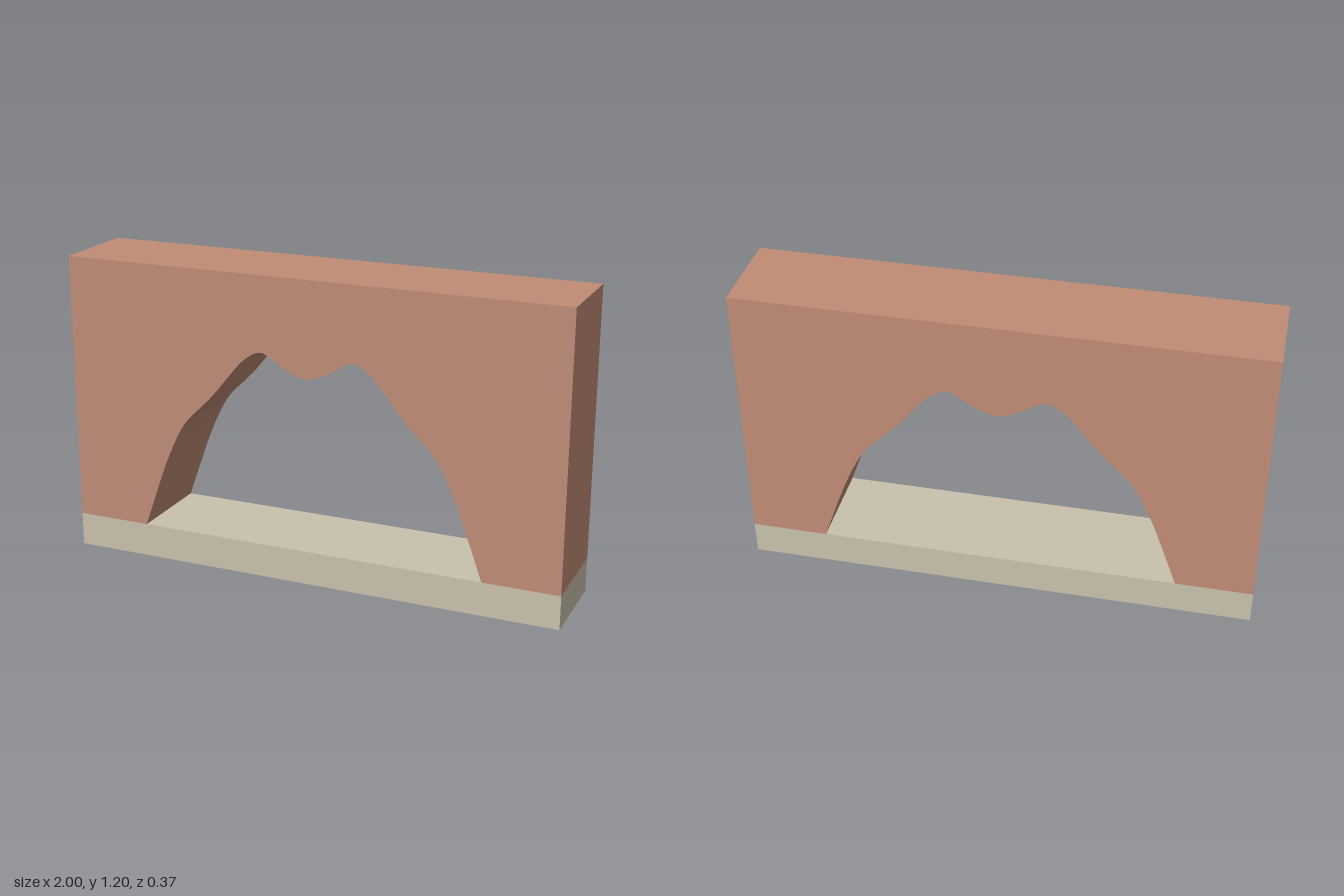
import * as THREE from 'three';

const WIDTH = 2, HEIGHT = 1.2, DEPTH = 0.37, BASE = 0.134;

// Right half of the opening, from the foot to the centre cusp
const HALF_ARCH = [
  [0.70, BASE], [0.65, 0.275], [0.60, 0.41], [0.55, 0.52], [0.50, 0.60], [0.40, 0.70],
  [0.30, 0.82], [0.25, 0.873], [0.18, 0.906], [0.10, 0.86], [0, 0.822],
];

export function createModel() {
  const group = new THREE.Group();
  const brick = new THREE.MeshStandardMaterial({ color: 0xc08c76, flatShading: true });
  const stone = new THREE.MeshStandardMaterial({ color: 0xc9c1ac, flatShading: true });

  // Stone sill
  const sill = new THREE.Mesh(new THREE.BoxGeometry(WIDTH, BASE, DEPTH), stone);
  sill.name = 'sill';
  sill.position.y = BASE / 2;
  group.add(sill);

  // Mirror the half arch and smooth it into a double-lobed opening
  const right = HALF_ARCH.map(([x, y]) => new THREE.Vector2(x, y));
  const left = HALF_ARCH.slice(0, -1).reverse().map(([x, y]) => new THREE.Vector2(-x, y));
  const arch = new THREE.SplineCurve([...right, ...left]).getPoints(60);

  // Wall outline, with the opening cut up from its lower edge
  const outline = [
    new THREE.Vector2(-WIDTH / 2, HEIGHT),
    new THREE.Vector2(-WIDTH / 2, BASE),
    ...arch.reverse(),
    new THREE.Vector2(WIDTH / 2, BASE),
    new THREE.Vector2(WIDTH / 2, HEIGHT),
  ];
  const wallGeometry = new THREE.ExtrudeGeometry(new THREE.Shape(outline), {
    depth: DEPTH, bevelEnabled: false,
  });
  wallGeometry.translate(0, 0, -DEPTH / 2);
  const wall = new THREE.Mesh(wallGeometry, brick);
  wall.name = 'archedWall';
  group.add(wall);

  return group;
}
